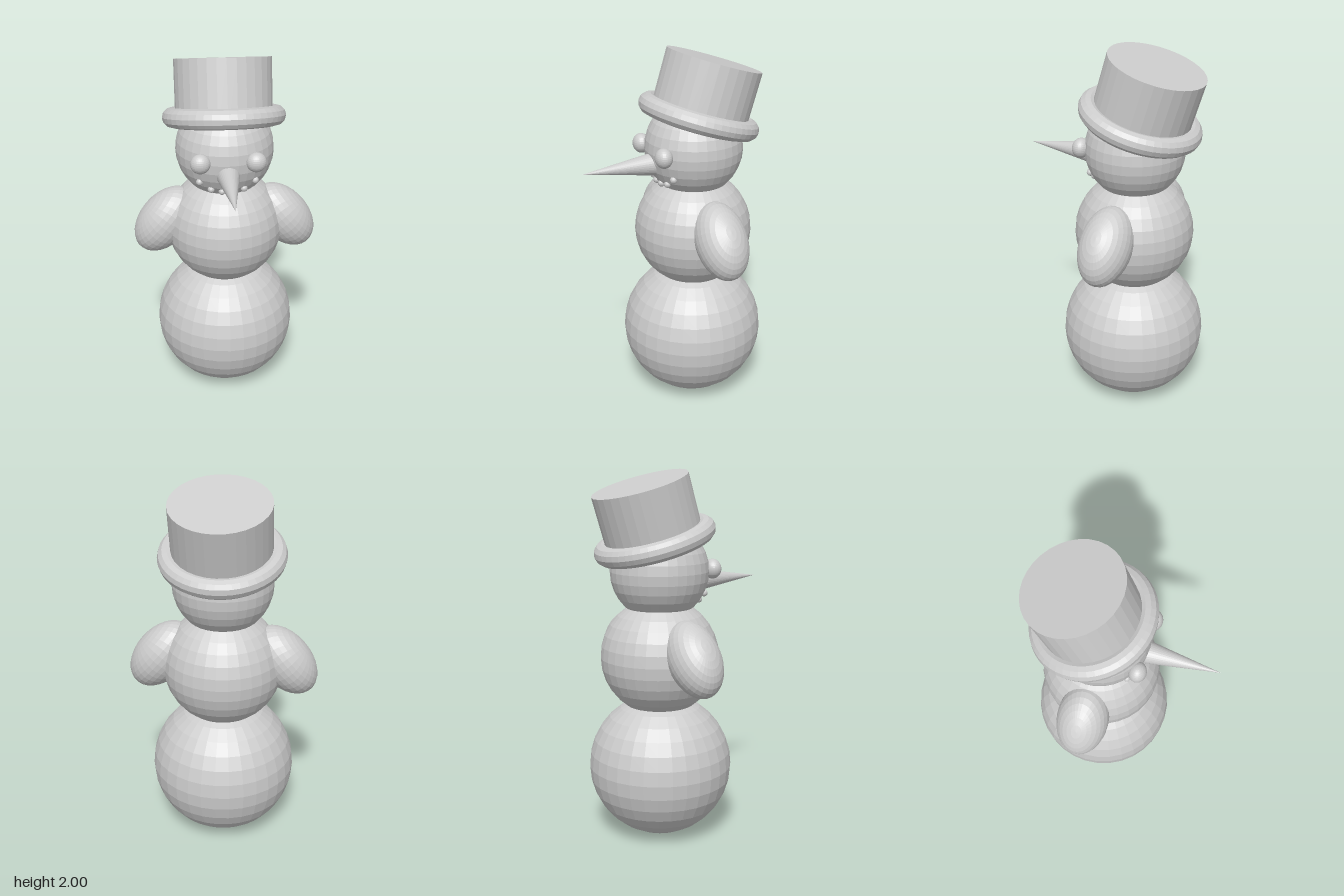
import * as THREE from 'three';

export function createModel() {
  const model = new THREE.Group();
  model.name = 'snowman';
  const grey = new THREE.MeshStandardMaterial({ color: 0xcccccc, flatShading: true });
  grey.name = 'grey';
  const Z = -0.13; // depth of the body axis

  const add = (name, geometry, x, y, z, parent = model) => {
    const mesh = new THREE.Mesh(geometry, grey);
    mesh.name = name;
    mesh.position.set(x, y, z);
    parent.add(mesh);
    return mesh;
  };
  const ball = (r) => new THREE.SphereGeometry(r, 32, 16);

  // Three stacked snowballs
  const headY = 1.47, headR = 0.266;
  add('lowerBody', ball(0.392), 0, 0.396, Z);
  add('upperBody', ball(0.322), 0, 1.005, Z);
  add('head', ball(headR), 0, headY, Z);

  for (const [side, s] of [['left', 1], ['right', -1]]) {
    // Egg-shaped arms slanting down and outward
    const arm = add(side + 'Arm', ball(1), s * 0.332, 1.047, Z);
    arm.scale.set(0.218, 0.14, 0.14);
    arm.rotation.z = -s * THREE.MathUtils.degToRad(50);

    // Slightly flattened eyes
    add(side + 'Eye', ball(0.053), s * 0.145, 1.48, 0.113).scale.z = 0.87;

    // Mouth pebbles set on the head surface
    [[0.03, 1.302], [0.087, 1.312], [0.147, 1.354]].forEach(([x, y], i) => {
      const dy = y - headY;
      const z = Z + Math.sqrt(headR * headR - x * x - dy * dy);
      add(side + 'MouthPebble' + (i + 1), new THREE.SphereGeometry(0.019, 16, 10), s * x, y, z);
    });
  }

  // Carrot nose
  const nose = add('nose', new THREE.ConeGeometry(0.064, 0.42, 32), 0, 1.405, 0.3);
  nose.rotation.x = Math.PI / 2;

  // Hat, tipped backward about the centre of its brim
  const hat = new THREE.Group();
  hat.name = 'hat';
  hat.position.set(0, 1.635, -0.159);
  hat.rotation.x = -THREE.MathUtils.degToRad(17);
  model.add(hat);
  const top = 0.304, bottom = -0.05;
  add('hatCrown', new THREE.CylinderGeometry(0.26, 0.26, top - bottom, 32), 0, (top + bottom) / 2, 0, hat);
  const brim = add('hatBrim', new THREE.TorusGeometry(0.278, 0.053, 12, 48), 0, 0, 0, hat);
  brim.rotation.x = Math.PI / 2;

  return model;
}
